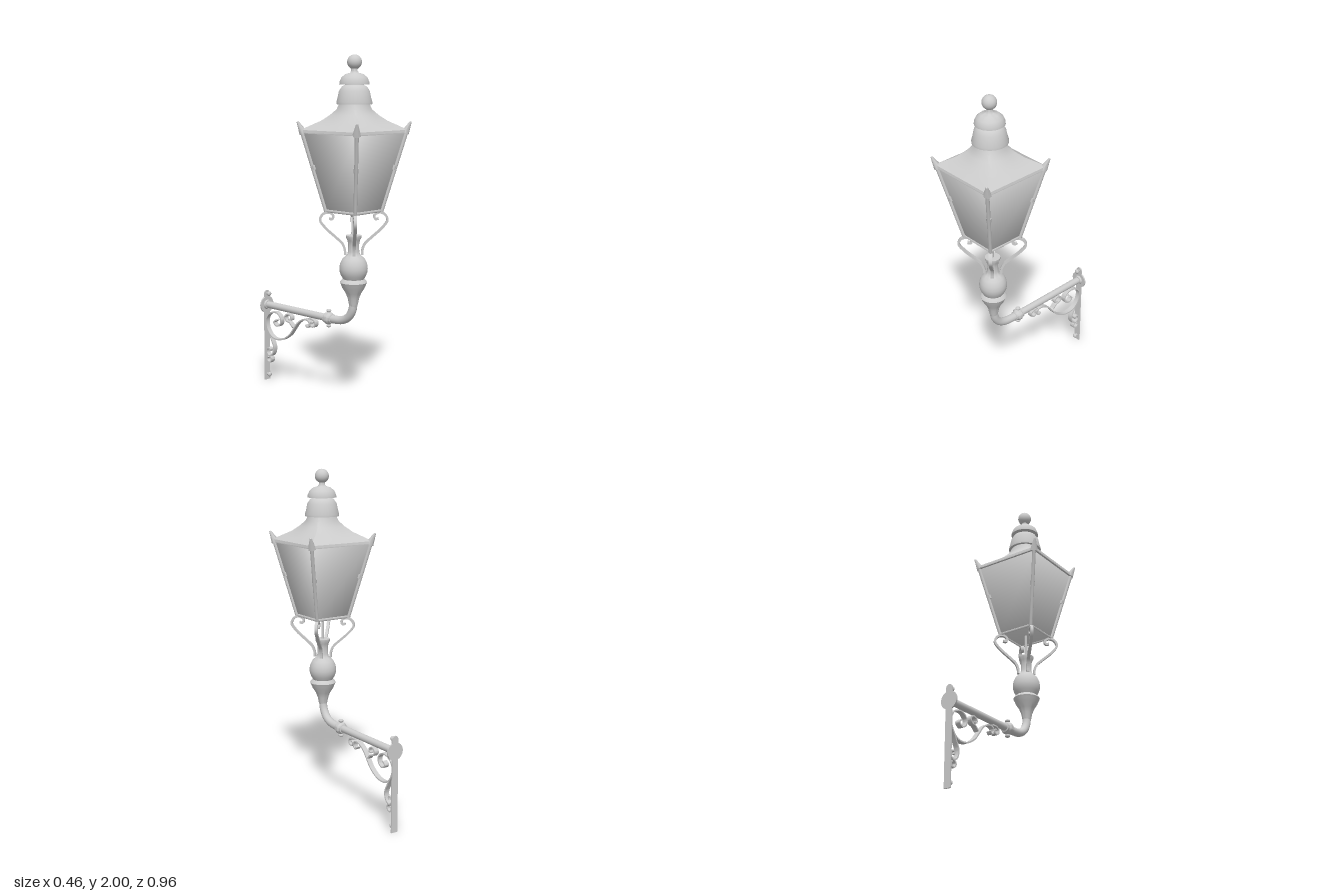
import * as THREE from 'three';
import { mergeVertices, toCreasedNormals } from 'three/addons/utils/BufferGeometryUtils.js';

const LAMP_Z = 0.25, ARM_Y = 0.48;

export function createModel() {
  const root = new THREE.Group();
  root.name = 'wallLantern';
  const metal = new THREE.MeshStandardMaterial({ color: 0xcccccc, side: THREE.DoubleSide });
  metal.name = 'pale grey';

  const add = (parent, name, geometry, x = 0, y = 0, z = 0) => {
    const mesh = new THREE.Mesh(geometry, metal);
    mesh.name = name;
    mesh.position.set(x, y, z);
    parent.add(mesh);
    return mesh;
  };
  const lathe = (pts, n = 32) =>
    toCreasedNormals(new THREE.LatheGeometry(pts.map(([r, y]) => new THREE.Vector2(r, y)), n), 0.8);

  // Straight bar between two points, tapered from r1 to r2
  const bar = (parent, name, a, b, r1, r2 = r1, sides = 8) => {
    const from = new THREE.Vector3(...a), to = new THREE.Vector3(...b);
    const dir = to.clone().sub(from);
    const mesh = add(parent, name, new THREE.CylinderGeometry(r2, r1, dir.length(), sides));
    mesh.position.copy(from).add(to).multiplyScalar(0.5);
    mesh.quaternion.setFromUnitVectors(new THREE.Vector3(0, 1, 0), dir.normalize());
    return mesh;
  };

  // Flat iron strip following a planar curve, extruded sideways
  const strip = (pts, thick, width) => {
    const curve = new THREE.CatmullRomCurve3(pts.map(([u, v]) => new THREE.Vector3(u, v, 0)));
    const n = pts.length * 5, left = [], right = [];
    for (let i = 0; i <= n; i++) {
      const p = curve.getPoint(i / n), t = curve.getTangent(i / n);
      const dx = -t.y * thick / 2, dy = t.x * thick / 2;
      left.push(new THREE.Vector2(p.x + dx, p.y + dy));
      right.unshift(new THREE.Vector2(p.x - dx, p.y - dy));
    }
    const g = new THREE.ExtrudeGeometry(new THREE.Shape([...left, ...right]),
      { depth: width, bevelEnabled: false });
    return toCreasedNormals(g.translate(0, 0, -width / 2), 0.7);
  };

  const lamp = new THREE.Group();
  lamp.name = 'lamp';
  lamp.position.z = LAMP_Z;
  root.add(lamp);

  // Tapered glass body with soft shading
  const glass = new THREE.BoxGeometry(2, 0.44, 2);
  const gp = glass.attributes.position;
  for (let i = 0; i < gp.count; i++) {
    const w = gp.getY(i) > 0 ? 0.202 : 0.108;
    gp.setX(i, gp.getX(i) * w);
    gp.setZ(i, gp.getZ(i) * w);
  }
  glass.deleteAttribute('uv');
  glass.deleteAttribute('normal');
  const softGlass = mergeVertices(glass);
  softGlass.computeVertexNormals();
  add(lamp, 'glassBody', softGlass, 0, 1.352, 0);

  // Frame: posts, rims, corner horns and scrolled supports at each corner
  const supportPath = [[0.14, 1.088], [0.122, 1.085], [0.116, 1.105], [0.138, 1.122], [0.172, 1.115],
    [0.19, 1.08], [0.16, 1.035], [0.1, 0.98], [0.064, 0.945], [0.05, 0.91], [0.048, 0.88]];
  const supportGeo = strip(supportPath, 0.013, 0.018);
  for (let k = 0; k < 4; k++) {
    const corner = new THREE.Group();
    corner.name = 'frameCorner';
    corner.rotation.y = k * Math.PI / 2;
    lamp.add(corner);
    bar(corner, 'cornerPost', [0.111, 1.128, 0.111], [0.207, 1.58, 0.207], 0.01, 0.011);
    bar(corner, 'postStud', [0.155, 1.365, 0.155], [0.161, 1.39, 0.161], 0.014);
    bar(corner, 'lowerRim', [-0.111, 1.132, 0.111], [0.111, 1.132, 0.111], 0.008, 0.008, 4);
    add(corner, 'upperRim', new THREE.BoxGeometry(0.424, 0.014, 0.014), 0, 1.574, 0.206);
    bar(corner, 'cornerHorn', [0.2, 1.568, 0.2], [0.223, 1.632, 0.223], 0.024, 0.006, 6);
    add(corner, 'support', supportGeo).rotation.y = -Math.PI / 4;
  }

  // Roof: square eaves sweeping up into a round collar
  const roof = new THREE.LatheGeometry([[0.215, 1.572], [0.212, 1.586], [0.178, 1.61], [0.142, 1.637],
    [0.112, 1.67], [0.09, 1.7], [0.08, 1.74]].map(([r, y]) => new THREE.Vector2(r, y)), 48);
  const rp = roof.attributes.position;
  for (let i = 0; i < rp.count; i++) {
    const x = rp.getX(i), z = rp.getZ(i), round = Math.min(1, Math.max(0, (rp.getY(i) - 1.6) / 0.13));
    const square = Math.hypot(x, z) / Math.max(Math.abs(x), Math.abs(z));
    const s = square + (1 - square) * round;
    rp.setX(i, x * s);
    rp.setZ(i, z * s);
  }
  add(lamp, 'roof', toCreasedNormals(roof, 0.6));

  // Stacked chimney caps and ball finial
  add(lamp, 'lowerCap', lathe([[0.078, 1.728], [0.1, 1.728], [0.1, 1.74], [0.093, 1.765], [0.086, 1.8],
    [0.07, 1.825], [0.052, 1.834], [0.05, 1.845]]));
  add(lamp, 'upperCap', lathe([[0.05, 1.836], [0.084, 1.836], [0.083, 1.85], [0.072, 1.875],
    [0.05, 1.893], [0.025, 1.9], [0.018, 1.91], [0.018, 1.93]]));
  add(lamp, 'finial', new THREE.SphereGeometry(0.041, 24, 16), 0, 1.959, 0);

  // Feed pipe and turned column
  bar(lamp, 'feedPipe', [0, 0.95, 0], [0, 1.135, 0], 0.008);
  add(lamp, 'column', lathe([[0.022, 0.58], [0.027, 0.6], [0.033, 0.63], [0.045, 0.66], [0.064, 0.69],
    [0.072, 0.71], [0.078, 0.722], [0.072, 0.732], [0.06, 0.742], [0.072, 0.763], [0.079, 0.783],
    [0.081, 0.803], [0.077, 0.83], [0.064, 0.857], [0.046, 0.874], [0.036, 0.885], [0.032, 0.9],
    [0.031, 0.94], [0.036, 0.965], [0.044, 0.98], [0.044, 0.992], [0, 0.992]]));

  // Bend and straight arm
  const bend = new THREE.CatmullRomCurve3([[0.63, 0.25], [0.59, 0.249], [0.55, 0.239], [0.51, 0.21],
    [0.487, 0.165], [0.48, 0.11], [0.48, 0.05]].map(([y, z]) => new THREE.Vector3(0, y, z)));
  add(root, 'bend', new THREE.TubeGeometry(bend, 32, 0.024, 20));
  bar(root, 'arm', [0, ARM_Y, 0.05], [0, ARM_Y, -0.475], 0.021, 0.021, 20);

  // Ring joint with two screw knobs
  const joint = add(root, 'joint', lathe([[0.022, -0.031], [0.028, -0.029], [0.028, -0.017],
    [0.036, -0.009], [0.036, 0.009], [0.028, 0.017], [0.028, 0.029], [0.022, 0.031]]), 0, ARM_Y, 0.056);
  joint.rotation.x = Math.PI / 2;
  for (const s of [-1, 1]) {
    bar(root, 'screwStem', [0, ARM_Y + s * 0.03, 0.056], [0, ARM_Y + s * 0.045, 0.056], 0.009);
    add(root, 'screwKnob', new THREE.SphereGeometry(0.015, 12, 8), 0, ARM_Y + s * 0.045, 0.056)
      .scale.y = 0.65;
  }

  // Wall plate: narrow strap with a round boss
  const plate = new THREE.Shape();
  const a = Math.asin(0.02 / 0.052), dy = 0.052 * Math.cos(a);
  plate.moveTo(-0.02, 0);
  plate.lineTo(0.02, 0);
  plate.lineTo(0.02, ARM_Y - dy);
  plate.absarc(0, ARM_Y, 0.052, -Math.PI / 2 + a, Math.PI / 2 - a, false);
  plate.lineTo(0.02, 0.55);
  plate.absarc(0, 0.55, 0.02, 0, Math.PI, false);
  plate.lineTo(-0.02, ARM_Y + dy);
  plate.absarc(0, ARM_Y, 0.052, Math.PI / 2 + a, 1.5 * Math.PI - a, false);
  add(root, 'wallPlate', new THREE.ExtrudeGeometry(plate, { depth: 0.009, bevelEnabled: false, curveSegments: 20 }),
    0, 0, -0.48);
  bar(root, 'armFlange', [0, ARM_Y, -0.472], [0, ARM_Y, -0.46], 0.03, 0.026, 20);
  for (const y of [0.035, 0.55]) {
    bar(root, 'boltStem', [0, y, -0.472], [0, y, -0.456], 0.009);
    add(root, 'boltHead', new THREE.SphereGeometry(0.015, 12, 8), 0, y, -0.454).scale.z = 0.75;
  }

  // Scrolled iron bracket under the arm, drawn in (z, y)
  const scrolls = {
    mainScroll: [[-0.122, 0.412], [-0.112, 0.398], [-0.094, 0.41], [-0.1, 0.436], [-0.138, 0.441],
      [-0.19, 0.412], [-0.225, 0.37], [-0.265, 0.322], [-0.34, 0.28], [-0.415, 0.283], [-0.46, 0.33],
      [-0.468, 0.39], [-0.435, 0.432], [-0.375, 0.442], [-0.338, 0.41], [-0.345, 0.375],
      [-0.377, 0.36], [-0.4, 0.38], [-0.38, 0.398]],
    sideCurl: [[-0.235, 0.375], [-0.262, 0.4], [-0.29, 0.408], [-0.302, 0.43], [-0.28, 0.45],
      [-0.252, 0.44], [-0.25, 0.42], [-0.27, 0.418]],
    tipCurl: [[-0.1, 0.452], [-0.07, 0.452], [-0.047, 0.438], [-0.052, 0.413], [-0.075, 0.408],
      [-0.086, 0.425], [-0.07, 0.436]],
    lowerScroll: [[-0.455, 0.32], [-0.425, 0.27], [-0.403, 0.22], [-0.415, 0.175], [-0.445, 0.16],
      [-0.466, 0.178], [-0.46, 0.205], [-0.438, 0.203], [-0.44, 0.188]],
    lowerCurl: [[-0.435, 0.158], [-0.424, 0.14], [-0.436, 0.12], [-0.458, 0.122], [-0.465, 0.14],
      [-0.452, 0.152]],
  };
  for (const [name, pts] of Object.entries(scrolls))
    add(root, name, strip(pts, 0.008, 0.03)).rotation.y = -Math.PI / 2;

  return root;
}
